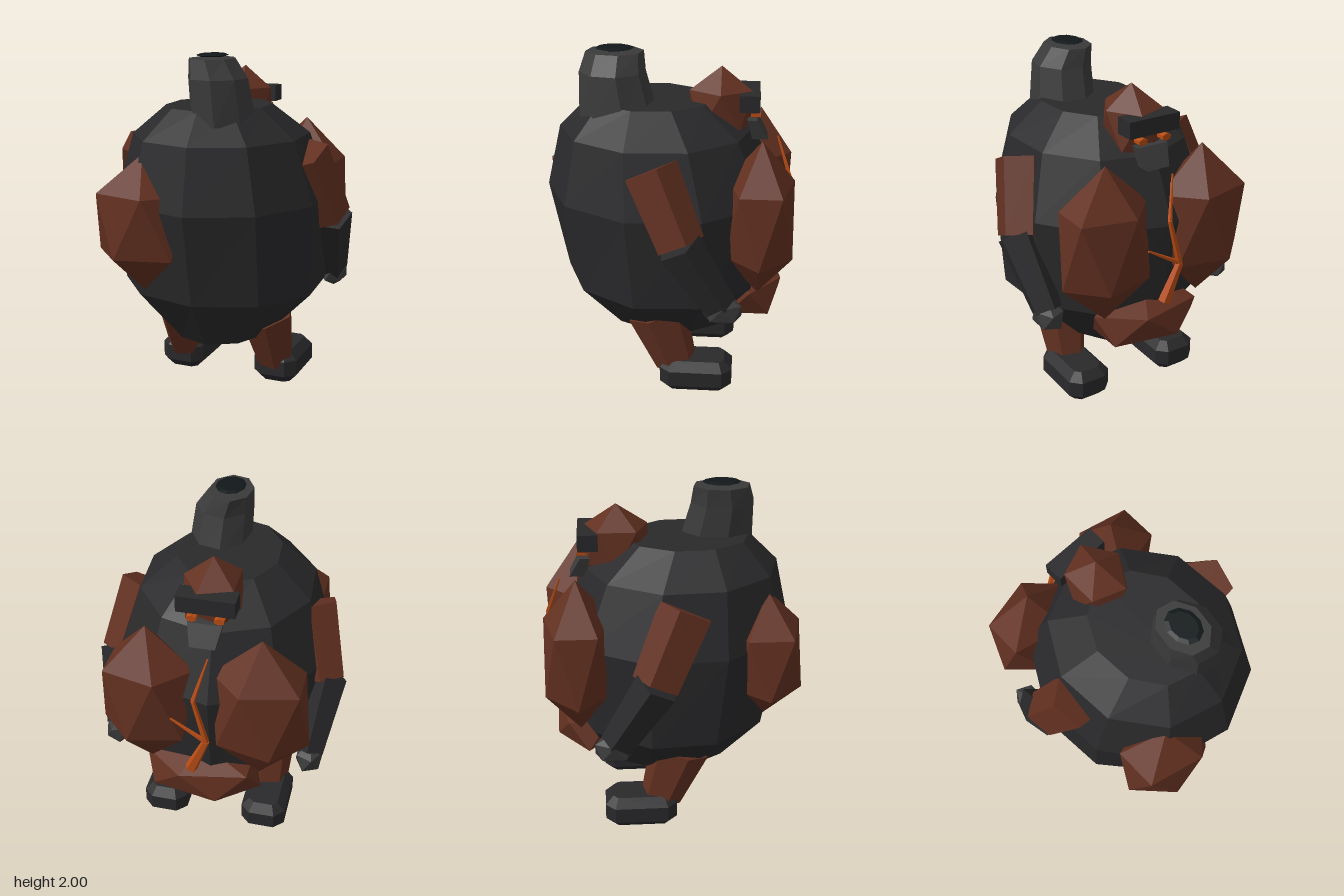
import * as THREE from 'three';

const mat = (color) => new THREE.MeshStandardMaterial({ color, flatShading: true, roughness: 0.9 });

export function createModel() {
  const model = new THREE.Group();
  const brown = mat(0x623020), dark = mat(0x29292b), grey = mat(0x3a3a3a);
  const black = mat(0x12181a), orange = mat(0xb84c14);

  const add = (name, geometry, material) => {
    const mesh = new THREE.Mesh(geometry, material);
    mesh.name = name;
    model.add(mesh);
    return mesh;
  };

  // Closed skin over horizontal elliptic rings [y, centreX, centreZ, radiusX, radiusZ]
  function loft(rings, sides, start) {
    const pos = [], idx = [];
    for (const [y, cx, cz, rx, rz] of rings)
      for (let i = 0; i < sides; i++) {
        const a = start + (i / sides) * Math.PI * 2;
        pos.push(cx + Math.sin(a) * rx, y, cz + Math.cos(a) * rz);
      }
    for (let r = 0; r < rings.length - 1; r++)
      for (let i = 0; i < sides; i++) {
        const a = r * sides + i, b = r * sides + ((i + 1) % sides);
        idx.push(a, b, b + sides, a, b + sides, a + sides);
      }
    const top = (rings.length - 1) * sides;
    for (let i = 1; i < sides - 1; i++) {
      idx.push(0, i + 1, i);
      idx.push(top, top + i, top + i + 1);
    }
    const g = new THREE.BufferGeometry();
    g.setAttribute('position', new THREE.Float32BufferAttribute(pos, 3));
    g.setIndex(idx);
    g.computeVertexNormals();
    return g;
  }

  // Faceted lump: an icosahedron standing on one corner, stretched on each axis
  function lump(name, center, radii, material, yaw = 0) {
    const g = new THREE.IcosahedronGeometry(1, 0);
    g.rotateZ(-Math.atan(2 / (1 + Math.sqrt(5)))).rotateY(yaw).scale(...radii);
    return add(name, g.translate(...center), material);
  }

  // Tapered prism between two points, scaled sideways by flat
  function limb(name, from, to, rFrom, rTo, material, sides = 5, flat = 1, turn = 0) {
    const a = new THREE.Vector3(...from), b = new THREE.Vector3(...to);
    const dir = a.clone().sub(b);
    const g = new THREE.CylinderGeometry(rFrom, rTo, dir.length(), sides, 1, false, turn);
    g.scale(flat, 1, 1);
    const mesh = add(name, g, material);
    mesh.quaternion.setFromUnitVectors(new THREE.Vector3(0, 1, 0), dir.normalize());
    mesh.position.copy(a).add(b).multiplyScalar(0.5);
    return mesh;
  }

  // Barrel body with flat top and bottom
  add('body', loft([
    [0.33, 0, -0.02, 0.29, 0.385],
    [0.64, 0, 0.01, 0.6, 0.595],
    [1.17, 0, 0.03, 0.618, 0.682],
    [1.53, 0, 0.07, 0.505, 0.56],
    [1.7, 0, 0.1, 0.295, 0.36],
  ], 10, 0.07), dark);

  // Leaning chimney and its dark opening
  add('chimney', loft([
    [1.62, 0.1, 0.275, 0.18, 0.225],
    [1.87, 0.08, 0.31, 0.165, 0.188],
    [1.975, 0.042, 0.3, 0.128, 0.165],
  ], 8, 0.2), grey);
  add('chimneyOpening', loft([
    [1.985, 0.045, 0.3, 0.065, 0.085],
    [1.992, 0.045, 0.3, 0.087, 0.11],
    [2.0, 0.045, 0.3, 0.065, 0.085],
  ], 10, 0), black);

  // Fleshy lumps on the body
  lump('sideLump', [-0.28, 1.07, 0.53], [0.313, 0.39, 0.24], brown);
  lump('chestRight', [-0.315, 1.1, -0.533], [0.31, 0.46, 0.222], brown);
  lump('chestLeft', [0.32, 1.1, -0.537], [0.3, 0.46, 0.222], brown, Math.PI);
  lump('belly', [0.02, 0.56, -0.49], [0.38, 0.175, 0.22], brown);

  // Head with visor, eyes and jaw
  lump('head', [0, 1.655, -0.3], [0.183, 0.235, 0.21], brown);
  add('visor', new THREE.BoxGeometry(0.32, 0.095, 0.115).translate(-0.005, 1.712, -0.462), dark);
  for (const x of [-0.08, 0.07])
    limb('eye', [x, 1.634, -0.523], [x, 1.634, -0.47], 0.02, 0.02, orange, 6, 1.5);
  const q = Math.SQRT2;
  add('jaw', loft([
    [1.485, 0.002, -0.525, 0.07 * q, 0.045 * q],
    [1.6, 0, -0.48, 0.095 * q, 0.028 * q],
  ], 4, Math.PI / 4), grey);

  // Forked twig held in front of the chest
  const fork = [-0.05, 0.97, -0.715], bend = [0.02, 1.24, -0.71];
  limb('twigStem', fork, [0.04, 0.75, -0.705], 0.021, 0.036, orange);
  limb('twigMiddle', bend, fork, 0.013, 0.019, orange);
  limb('twigTip', [-0.045, 1.47, -0.63], bend, 0.005, 0.013, orange);
  limb('twigBranch', [0.15, 1.09, -0.705], fork, 0.006, 0.015, orange);

  // Foot outline: a rectangle with cut corners
  function footGeometry() {
    const w = 0.088, l = 0.167, c = 0.03;
    const s = new THREE.Shape([
      [-w + c, -l], [w - c, -l], [w, -l + c], [w, l - c],
      [w - c, l], [-w + c, l], [-w, l - c], [-w, -l + c],
    ].map(([x, y]) => new THREE.Vector2(x, y)));
    const g = new THREE.ExtrudeGeometry(s, {
      depth: 0.095, bevelThickness: 0.05, bevelSize: 0.047, bevelSegments: 1,
    });
    return g.rotateX(-Math.PI / 2);
  }

  // Arms and legs, mirrored
  for (const [side, s] of [['left', 1], ['right', -1]]) {
    const turn = 0.7 * s;
    limb(side + 'UpperArm', [0.505 * s, 1.44, 0.065], [0.61 * s, 1.055, -0.105], 0.16, 0.143, brown, 5, 0.85, turn);
    limb(side + 'Forearm', [0.625 * s, 1.06, -0.1], [0.57 * s, 0.67, -0.33], 0.132, 0.1, dark, 5, 0.88, turn);
    lump(side + 'Hand', [0.575 * s, 0.65, -0.345], [0.088, 0.092, 0.125], grey, s > 0 ? 0 : Math.PI);
    limb(side + 'Leg', [0.28 * s, 0.47, 0.045], [0.3 * s, 0.14, -0.07], 0.18, 0.125, brown, 6, 0.9, 0.3 * s);
    add(side + 'Foot', footGeometry(), dark).position.set(0.31 * s, 0.05, -0.191);
  }

  return model;
}
